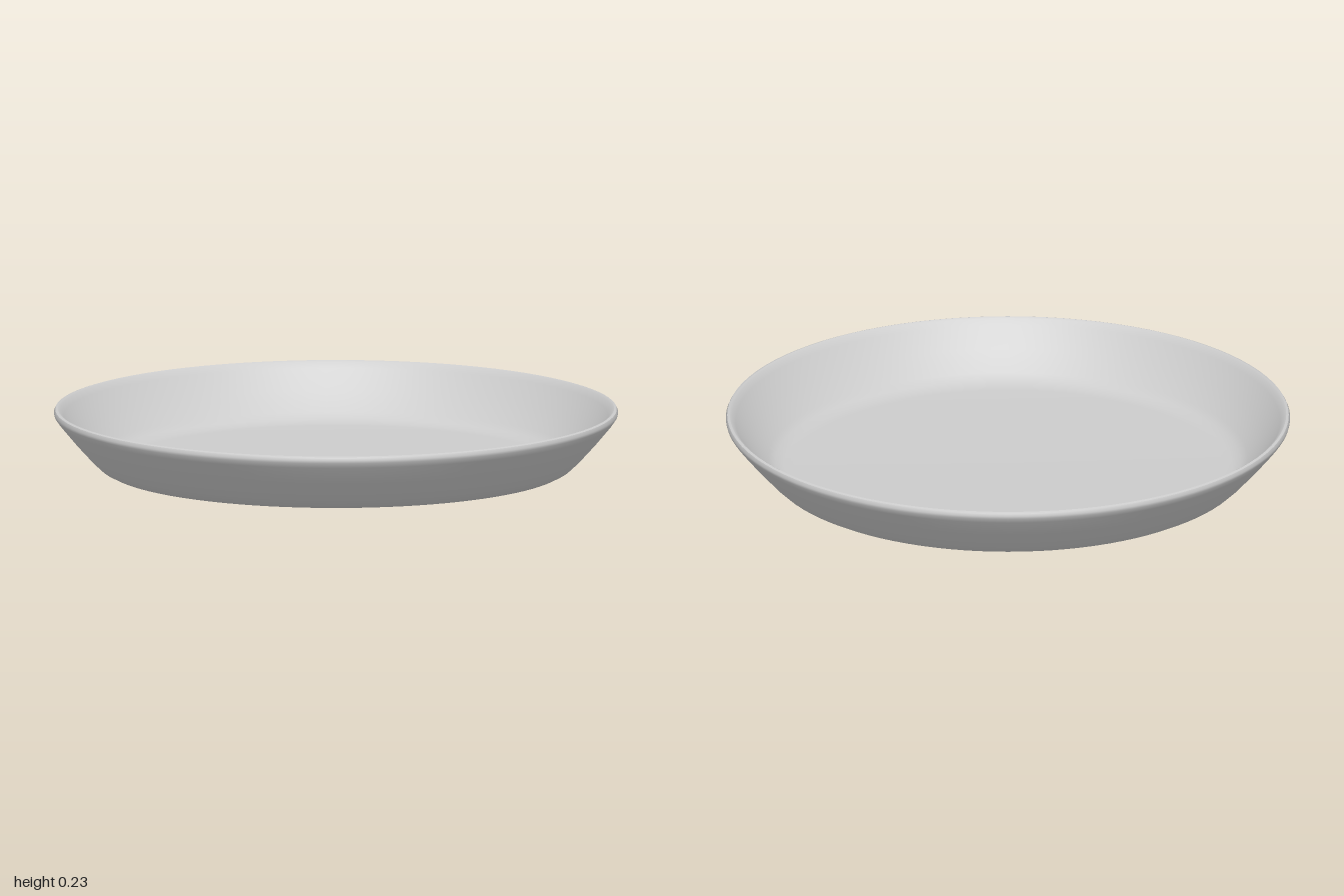
import * as THREE from 'three';
import { toCreasedNormals } from 'three/addons/utils/BufferGeometryUtils.js';

export function createModel() {
  const group = new THREE.Group();
  group.name = 'shallowDish';

  // Closed cross-section: underside, flared outer wall, rim, inner wall, floor
  const profile = [
    [0, 0.005], [0.6, 0.006], [0.78, 0.01], [0.815, 0.015], [0.84, 0.028], [0.87, 0.056],
    [0.93, 0.122], [0.985, 0.188], [0.998, 0.207], [1, 0.217], [0.995, 0.227],
    [0.986, 0.23], [0.978, 0.225], [0.965, 0.205], [0.91, 0.134], [0.85, 0.066],
    [0.825, 0.046], [0.795, 0.036], [0.76, 0.034], [0, 0.034],
  ].map(([r, y]) => new THREE.Vector2(r, y));

  const geometry = toCreasedNormals(new THREE.LatheGeometry(profile, 96), 0.7);
  const dish = new THREE.Mesh(geometry, new THREE.MeshStandardMaterial({ color: 0xcccccc }));
  dish.name = 'dish';
  group.add(dish);
  return group;
}
